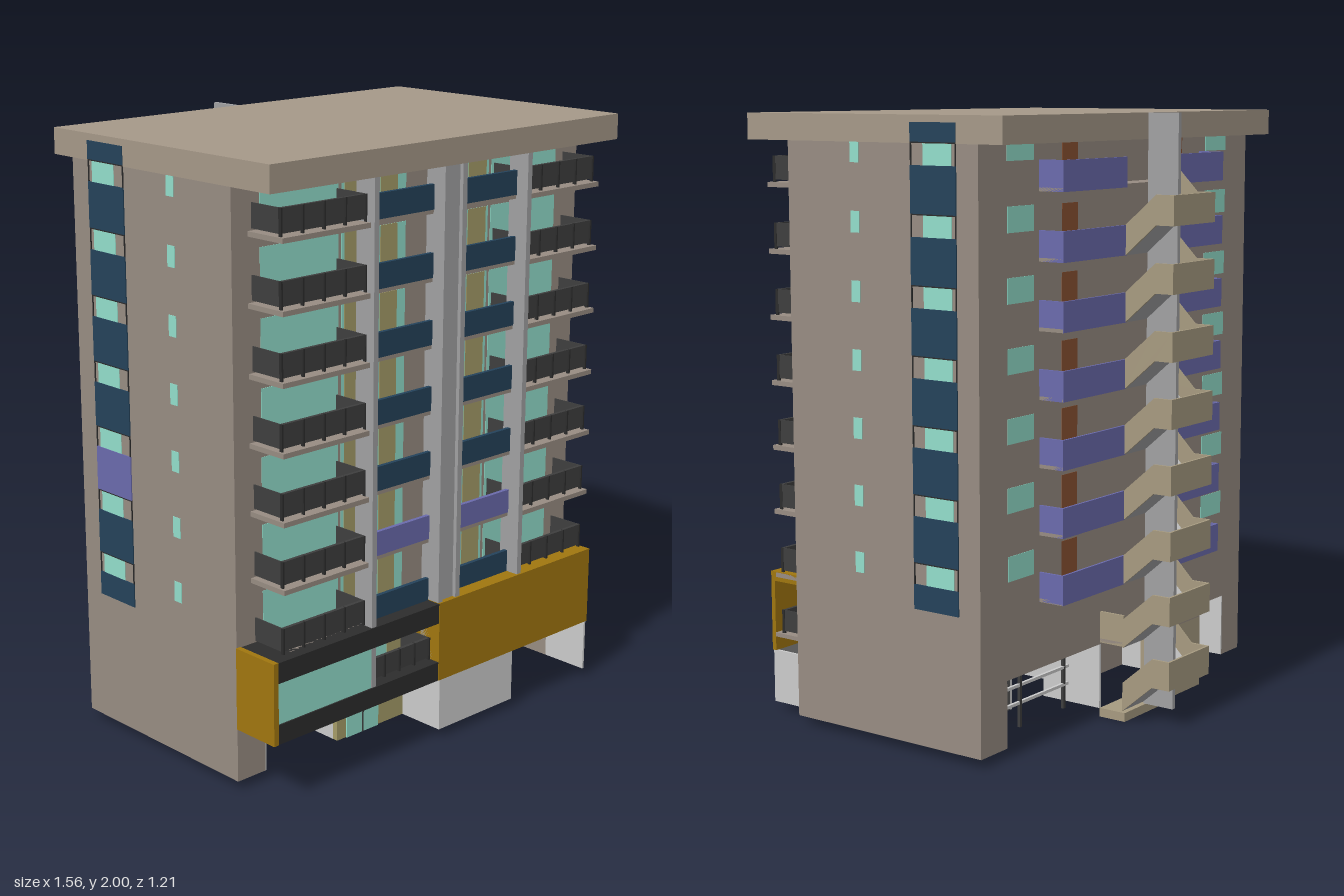
import * as THREE from 'three';

const paint = (color) => new THREE.MeshStandardMaterial({ color, side: THREE.DoubleSide });
const M = {
  wall: paint(0x978c82), roof: paint(0xa59888), glass: paint(0x92decb), navy: paint(0x24425a),
  purple: paint(0x6a6aac), rail: paint(0x3e3e3e), mustard: paint(0xa0760f), tan: paint(0xa69a80),
  olive: paint(0xa59c68), light: paint(0xc8c8c8), grey: paint(0xa0a0a2), dark: paint(0x545454),
  black: paint(0x2c2c2c), brown: paint(0x8a5232),
};
const PITCH = 0.2162, FIRST = 0.48, FLOORS = 7;

export function createModel() {
  const model = new THREE.Group();
  model.name = 'apartmentBlock';

  // Box given by its extents on each axis
  const box = (name, mat, x0, x1, y0, y1, z0, z1) => {
    const mesh = new THREE.Mesh(new THREE.BoxGeometry(x1 - x0, y1 - y0, z1 - z0), mat);
    mesh.position.set((x0 + x1) / 2, (y0 + y1) / 2, (z0 + z1) / 2);
    mesh.name = name;
    model.add(mesh);
  };
  // Same box on both sides of x = 0
  const pair = (name, mat, x0, x1, ...rest) => {
    box(name, mat, x0, x1, ...rest);
    box(name, mat, -x1, -x0, ...rest);
  };
  // Side outline in (z, y), extruded from x0 to x1
  const sideProfile = (name, mat, points, x0, x1) => {
    const shape = new THREE.Shape(points.map(([z, y]) => new THREE.Vector2(-z, y)));
    const geo = new THREE.ExtrudeGeometry(shape, { depth: x1 - x0, bevelEnabled: false });
    geo.rotateY(Math.PI / 2);
    const mesh = new THREE.Mesh(geo, mat);
    mesh.position.x = x0;
    mesh.name = name;
    model.add(mesh);
  };
  // Balcony railing: infill panels, posts and end panels
  const railing = (x0, x1, y, height) => {
    box('railingFront', M.rail, x0, x1, y + 0.008, y + height - 0.008, 0.556, 0.56);
    box('railingTop', M.rail, x0, x1, y + height - 0.008, y + height, 0.553, 0.565);
    for (const x of [x0, x1]) box('railingEnd', M.rail, x - 0.002, x + 0.002, y + 0.008, y + height, 0.435, 0.56);
    for (let i = 0; i <= 4; i++) {
      const x = x0 + ((x1 - x0) * i) / 4;
      box('railingPost', M.black, x - 0.003, x + 0.003, y, y + height, 0.555, 0.566);
    }
  };

  // Main mass, roof and ground floor piers
  box('body', M.wall, -0.775, 0.775, 0.25, 1.98, -0.33, 0.43);
  box('lowerBody', M.wall, -0.775, 0.775, 0.21, 0.25, -0.1, 0.43);
  box('roof', M.roof, -0.777, 0.777, 1.915, 2.0, -0.422, 0.602);
  box('leftPier', M.wall, 0.7, 0.775, 0.03, 0.25, -0.33, 0.43);
  box('leftPierBack', M.wall, 0.64, 0.7, 0.03, 0.25, -0.33, -0.25);
  box('rightPier', M.wall, -0.775, -0.66, 0.03, 0.25, -0.33, 0.43);

  // Vertical fins on the front
  pair('fin', M.grey, 0.335, 0.355, 0.21, 1.915, 0.52, 0.598);
  box('centreFin', M.grey, -0.03, 0.03, 0.21, 1.915, 0.52, 0.585);
  pair('centreFinEdge', M.grey, 0.03, 0.05, 0.21, 1.915, 0.52, 0.598);

  for (let i = 0; i < FLOORS; i++) {
    const y = FIRST + i * PITCH;
    const top = Math.min(y + 0.162, 1.915);
    // Outer balconies and their windows
    pair('balconySlab', M.wall, 0.345, 0.712, y - 0.016, y, 0.43, 0.582);
    pair('balconyWindow', M.glass, 0.345, 0.665, y, top, 0.425, 0.4315);
    railing(0.355, 0.7, y, 0.085);
    railing(-0.7, -0.355, y, 0.085);
    // Middle bays with parapet panels, windows and curtains
    pair('baySlab', M.wall, 0.05, 0.335, y - 0.016, y, 0.43, 0.55);
    pair('bayPanel', i === 1 ? M.purple : M.navy, 0.05, 0.335, y - 0.003, y + 0.077, 0.538, 0.552);
    pair('bayWindow', M.glass, 0.052, 0.332, y, top, 0.425, 0.4315);
    pair('curtain', M.olive, 0.09, 0.165, y, top, 0.425, 0.433);
    pair('curtain', M.olive, 0.235, 0.32, y, top, 0.425, 0.433);
    // Side strip: panels from one window to the next, framed windows, narrow windows
    const sy = y + 0.072;
    const next = i === FLOORS - 1 ? 1.978 : sy + PITCH;
    pair('sideWindow', M.glass, 0.77, 0.7765, sy, sy + 0.068, -0.23, -0.12);
    pair('sideWindowFrame', M.black, 0.77, 0.778, sy + 0.066, sy + 0.07, -0.248, -0.072);
    pair('sideWindowJamb', M.black, 0.77, 0.778, sy, sy + 0.068, -0.248, -0.244);
    pair('sideWindowJamb', M.black, 0.77, 0.778, sy, sy + 0.068, -0.076, -0.072);
    box('leftSidePanel', M.navy, 0.77, 0.779, sy + 0.07, next, -0.248, -0.072);
    box('rightSidePanel', i === 1 ? M.purple : M.navy, -0.779, -0.77, sy + 0.07, next, -0.248, -0.072);
    pair('narrowWindow', M.glass, 0.77, 0.777, sy + 0.003, sy + 0.07, 0.135, 0.17);
    // Back access galleries, windows and doors
    const by = y - 0.012;
    box('gallerySlab', M.wall, -0.47, 0.47, by, by + 0.012, -0.42, -0.33);
    pair('galleryPanel', M.purple, 0.12, 0.47, by, by + 0.097, -0.422, -0.414);
    pair('galleryEnd', M.purple, 0.462, 0.47, by, by + 0.097, -0.414, -0.33);
    pair('backWindow', M.glass, 0.5, 0.635, y + 0.085, y + 0.165, -0.3315, -0.325);
    pair('backDoor', M.brown, 0.265, 0.35, y, top, -0.3315, -0.325);
  }
  pair('lowestSidePanel', M.navy, 0.77, 0.779, FIRST - 0.008, FIRST + 0.072, -0.248, -0.072);

  // Outside stair: up the left flight to a half landing, back on the right flight
  for (let i = -2; i < FLOORS - 1; i++) {
    const y = FIRST + i * PITCH, mid = y + 0.1, up = y + PITCH;
    const flight = (a, b, h) => [[-0.42, a], [-0.535, b], [-0.535, b + h], [-0.42, a + h]];
    const stringer = (a) => [[-0.42, a], [-0.535, mid - 0.012], [-0.602, mid - 0.012],
      [-0.602, mid + 0.085], [-0.535, mid + 0.085], [-0.42, a + 0.097]];
    sideProfile('leftStringer', M.tan, stringer(y - 0.012), 0.119, 0.127);
    sideProfile('rightStringer', M.tan, stringer(up - 0.012), -0.122, -0.114);
    sideProfile('leftFlight', M.grey, flight(y - 0.012, mid - 0.012, 0.012), 0.0, 0.119);
    sideProfile('rightFlight', M.light, flight(up - 0.012, mid - 0.012, 0.012), -0.114, -0.016);
    box('landing', M.light, -0.114, 0.119, mid - 0.012, mid, -0.594, -0.535);
    box('landingPanel', M.tan, -0.114, 0.119, mid - 0.012, mid + 0.085, -0.602, -0.594);
  }
  box('stairSpine', M.grey, -0.016, 0.0, 0.03, 2.0, -0.537, -0.422);
  box('stairLobby', M.tan, -0.35, -0.12, 0.01, 0.256, -0.425, -0.33);
  box('lobbyParapet', M.tan, -0.35, -0.12, 0.27, 0.362, -0.43, -0.422);
  box('lobbyParapetEnd', M.tan, -0.35, -0.342, 0.27, 0.362, -0.422, -0.33);
  box('lobbyParapetEnd', M.tan, 0.119, 0.127, 0.256, 0.362, -0.422, -0.33);
  box('lobbySlab', M.wall, -0.35, 0.127, 0.256, 0.27, -0.425, -0.33);
  box('stairBase', M.tan, -0.12, 0.127, 0.0, 0.03, -0.43, -0.33);

  // First floor, right half: dark framed box with a large window and a balcony
  box('frameTop', M.black, -0.76, -0.05, 0.412, 0.48, 0.43, 0.602);
  box('frameBottom', M.black, -0.76, -0.05, 0.21, 0.275, 0.43, 0.602);
  box('frameEnd', M.mustard, -0.777, -0.758, 0.21, 0.482, 0.43, 0.604);
  box('bigWindow', M.glass, -0.758, -0.345, 0.275, 0.412, 0.585, 0.597);
  box('balconyGlazing', M.glass, -0.33, -0.05, 0.275, 0.412, 0.425, 0.432);
  box('curtain', M.olive, -0.32, -0.255, 0.275, 0.412, 0.425, 0.434);
  box('curtain', M.olive, -0.12, -0.05, 0.275, 0.412, 0.425, 0.434);
  railing(-0.33, -0.055, 0.272, 0.08);

  // First floor, left half: yellow screen with a balcony behind
  box('screen', M.mustard, -0.05, 0.712, 0.21, 0.482, 0.588, 0.604);
  box('screenTop', M.mustard, -0.05, 0.712, 0.45, 0.482, 0.43, 0.588);
  box('screenInnerEnd', M.mustard, -0.05, -0.035, 0.21, 0.45, 0.43, 0.588);
  box('screenFloor', M.wall, -0.035, 0.712, 0.258, 0.272, 0.43, 0.588);
  box('firstFloorWindow', M.glass, 0.05, 0.665, 0.272, 0.43, 0.425, 0.432);
  railing(0.355, 0.7, 0.272, 0.08);

  // Ground floor: entrance, front wall and garage
  box('entranceWall', M.olive, -0.345, -0.04, 0.03, 0.21, 0.41, 0.43);
  box('entranceDoor', M.glass, -0.305, -0.16, 0.03, 0.19, 0.405, 0.435);
  box('doorPost', M.rail, -0.235, -0.23, 0.03, 0.19, 0.403, 0.437);
  box('frontWall', M.light, -0.04, 0.32, 0.03, 0.21, 0.59, 0.6);
  box('frontWallReturn', M.light, -0.04, -0.03, 0.03, 0.21, -0.1, 0.59);
  box('garageSide', M.light, 0.31, 0.32, 0.03, 0.21, -0.1, 0.59);
  box('garageEnd', M.light, 0.7, 0.708, 0.03, 0.21, 0.43, 0.602);
  box('garageBack', M.dark, 0.32, 0.7, 0.03, 0.21, -0.1, -0.09);
  box('garageCeiling', M.dark, -0.03, 0.7, 0.204, 0.21, -0.09, 0.588);
  box('passageWall', M.light, -0.345, -0.335, 0.03, 0.25, -0.33, 0.41);
  box('passageLining', M.light, -0.66, -0.655, 0.03, 0.25, -0.33, 0.43);
  box('passageCeiling', M.dark, -0.655, -0.345, 0.204, 0.21, -0.1, 0.43);
  box('lobbySide', M.light, 0.12, 0.13, 0.03, 0.25, -0.33, -0.1);
  box('lobbyBack', M.wall, -0.335, 0.12, 0.03, 0.25, -0.11, -0.1);

  // Yard railing in the back recess
  for (const x of [0.155, 0.4, 0.635]) box('yardPost', M.rail, x - 0.005, x + 0.005, 0.012, 0.22, -0.205, -0.195);
  for (const y of [0.09, 0.15, 0.21]) box('yardRail', M.light, 0.13, 0.7, y, y + 0.01, -0.205, -0.195);

  return model;
}
